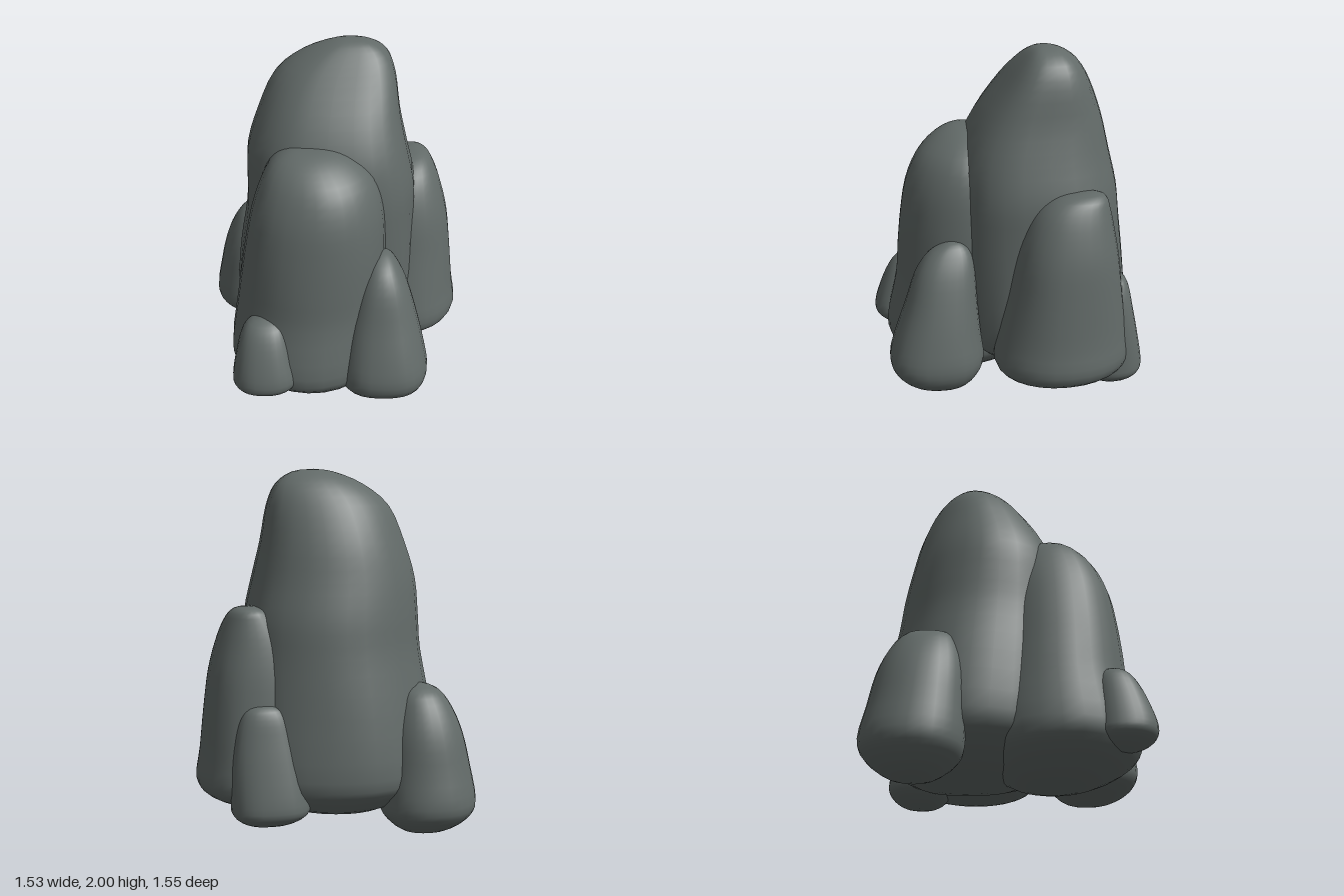
import * as THREE from 'three';

const SIDES = 28, STEPS_PER_SECTION = 3;

// Each boulder: outline = [roundness, extra roundness towards the front-left corner],
// sections from bottom to top = [y, xMin, xMax, zMin, zMax]
const BOULDERS = {
  mainBoulder: { outline: [0.88, -0.18], sections: [
    [0.10, -0.05, -0.05, -0.28, -0.28], [0.14, -0.34, 0.26, -0.56, 0.05], [0.24, -0.53, 0.44, -0.69, 0.22],
    [0.36, -0.595, 0.50, -0.74, 0.28], [0.7, -0.565, 0.495, -0.705, 0.295], [1.0, -0.515, 0.485, -0.66, 0.295],
    [1.2, -0.505, 0.475, -0.635, 0.29], [1.4, -0.49, 0.43, -0.59, 0.265], [1.6, -0.425, 0.385, -0.54, 0.175],
    [1.8, -0.33, 0.355, -0.46, 0.035], [1.92, -0.18, 0.305, -0.38, -0.06], [1.985, -0.02, 0.21, -0.285, -0.13],
    [2.0, 0.09, 0.09, -0.2, -0.2]] },
  frontBoulder: { outline: [0.97, 0.07], sections: [
    [0.06, -0.10, -0.10, 0.22, 0.22], [0.10, -0.34, 0.14, 0.0, 0.47], [0.2, -0.54, 0.28, -0.14, 0.66],
    [0.32, -0.585, 0.31, -0.18, 0.705], [0.6, -0.545, 0.31, -0.16, 0.65], [0.8, -0.515, 0.305, -0.14, 0.635],
    [1.0, -0.485, 0.30, -0.12, 0.615], [1.2, -0.445, 0.28, -0.1, 0.58], [1.36, -0.39, 0.225, -0.06, 0.51],
    [1.46, -0.33, 0.12, 0.02, 0.41], [1.51, -0.24, 0.0, 0.13, 0.31], [1.52, -0.13, -0.13, 0.22, 0.22]] },
  leftBoulder: { outline: [0.86, 0.06], sections: [
    [0.14, 0.42, 0.42, -0.22, -0.22], [0.165, 0.22, 0.58, -0.42, -0.02], [0.22, 0.1, 0.71, -0.56, 0.11],
    [0.30, 0.06, 0.76, -0.615, 0.145], [0.45, 0.09, 0.74, -0.605, 0.12], [0.7, 0.14, 0.715, -0.575, 0.065],
    [0.9, 0.18, 0.69, -0.55, 0.025], [1.06, 0.22, 0.65, -0.52, -0.025], [1.18, 0.3, 0.605, -0.49, -0.10],
    [1.25, 0.38, 0.555, -0.46, -0.21], [1.27, 0.47, 0.47, -0.37, -0.37]] },
  frontLeftStone: { outline: [0.82, 0], sections: [
    [0.10, 0.37, 0.37, 0.43, 0.43], [0.13, 0.22, 0.47, 0.30, 0.58], [0.19, 0.06, 0.53, 0.22, 0.69],
    [0.28, 0.045, 0.55, 0.19, 0.725], [0.42, 0.06, 0.525, 0.205, 0.69], [0.6, 0.09, 0.48, 0.22, 0.625],
    [0.78, 0.14, 0.425, 0.23, 0.565], [0.89, 0.19, 0.37, 0.25, 0.495], [0.945, 0.235, 0.325, 0.295, 0.41],
    [0.96, 0.28, 0.28, 0.35, 0.35]] },
  frontRightPebble: { outline: [0.88, 0], sections: [
    [0.19, -0.38, -0.38, 0.58, 0.58], [0.21, -0.48, -0.27, 0.48, 0.68], [0.25, -0.55, -0.20, 0.41, 0.75],
    [0.31, -0.555, -0.18, 0.40, 0.77], [0.43, -0.535, -0.205, 0.41, 0.735], [0.55, -0.505, -0.235, 0.43, 0.68],
    [0.62, -0.46, -0.275, 0.47, 0.62], [0.65, -0.37, -0.37, 0.54, 0.54]] },
  backRightStone: { outline: [0.92, 0], sections: [
    [0.0, -0.47, -0.47, -0.50, -0.50], [0.03, -0.62, -0.34, -0.63, -0.37], [0.11, -0.735, -0.25, -0.74, -0.26],
    [0.2, -0.765, -0.23, -0.775, -0.23], [0.38, -0.735, -0.24, -0.74, -0.23], [0.56, -0.695, -0.255, -0.705, -0.235],
    [0.70, -0.64, -0.29, -0.65, -0.26], [0.80, -0.565, -0.34, -0.575, -0.31], [0.84, -0.45, -0.45, -0.44, -0.44]] },
  backLeftPebble: { outline: [0.85, 0], sections: [
    [0.10, 0.39, 0.39, -0.54, -0.54], [0.12, 0.27, 0.52, -0.64, -0.43], [0.17, 0.18, 0.585, -0.71, -0.37],
    [0.24, 0.17, 0.595, -0.72, -0.36], [0.42, 0.20, 0.59, -0.685, -0.39], [0.58, 0.24, 0.57, -0.65, -0.42],
    [0.69, 0.28, 0.54, -0.625, -0.44], [0.745, 0.33, 0.495, -0.595, -0.48], [0.765, 0.41, 0.41, -0.54, -0.54]] },
};

// Loft a smooth closed stone through the sections, with slightly squared, uneven outlines
function stoneGeometry({ outline: [roundness, skew], sections }, seed) {
  const smooth = (toPoint) => new THREE.CatmullRomCurve3(sections.map(toPoint), false, 'catmullrom', 0.5);
  const centres = smooth(([y, x0, x1, z0, z1]) => new THREE.Vector3((x0 + x1) / 2, y, (z0 + z1) / 2));
  const radii = smooth(([, x0, x1, z0, z1]) => new THREE.Vector3((x1 - x0) / 2, 0, (z1 - z0) / 2));
  const squared = (v, power) => Math.sign(v) * Math.pow(Math.abs(v), power);
  const steps = (sections.length - 1) * STEPS_PER_SECTION;
  const bottom = centres.getPoint(0), top = centres.getPoint(1);
  const positions = [bottom.x, bottom.y, bottom.z];
  const index = [];
  for (let i = 1; i < steps; i++) {
    const c = centres.getPoint(i / steps), r = radii.getPoint(i / steps);
    for (let j = 0; j < SIDES; j++) {
      const a = (j / SIDES) * Math.PI * 2;
      const power = roundness + skew * Math.cos(a - Math.PI / 4);
      const bump = 1 + 0.007 * Math.sin(3 * a + seed * 2 + c.y * 2) + 0.005 * Math.sin(5 * a + seed - c.y * 5);
      positions.push(
        c.x + r.x * squared(Math.cos(a), power) * bump, c.y, c.z + r.z * squared(Math.sin(a), power) * bump);
    }
  }
  positions.push(top.x, top.y, top.z);
  const topIndex = positions.length / 3 - 1;
  const lastRing = topIndex - SIDES;
  for (let j = 0; j < SIDES; j++) {
    const k = (j + 1) % SIDES;
    index.push(0, 1 + j, 1 + k);
    for (let ring = 1; ring < lastRing; ring += SIDES) {
      const a = ring + j, b = ring + k;
      index.push(a, a + SIDES, b, b, a + SIDES, b + SIDES);
    }
    index.push(lastRing + j, topIndex, lastRing + k);
  }
  const geometry = new THREE.BufferGeometry();
  geometry.setAttribute('position', new THREE.Float32BufferAttribute(positions, 3));
  geometry.setIndex(index);
  geometry.computeVertexNormals();
  return geometry;
}

export function createModel() {
  const group = new THREE.Group();
  group.name = 'rockCluster';
  const stone = new THREE.MeshStandardMaterial({ color: 0x626a68 });
  stone.name = 'greyStone';
  Object.entries(BOULDERS).forEach(([name, boulder], i) => {
    const mesh = new THREE.Mesh(stoneGeometry(boulder, i + 1), stone);
    mesh.name = name;
    group.add(mesh);
  });
  return group;
}
